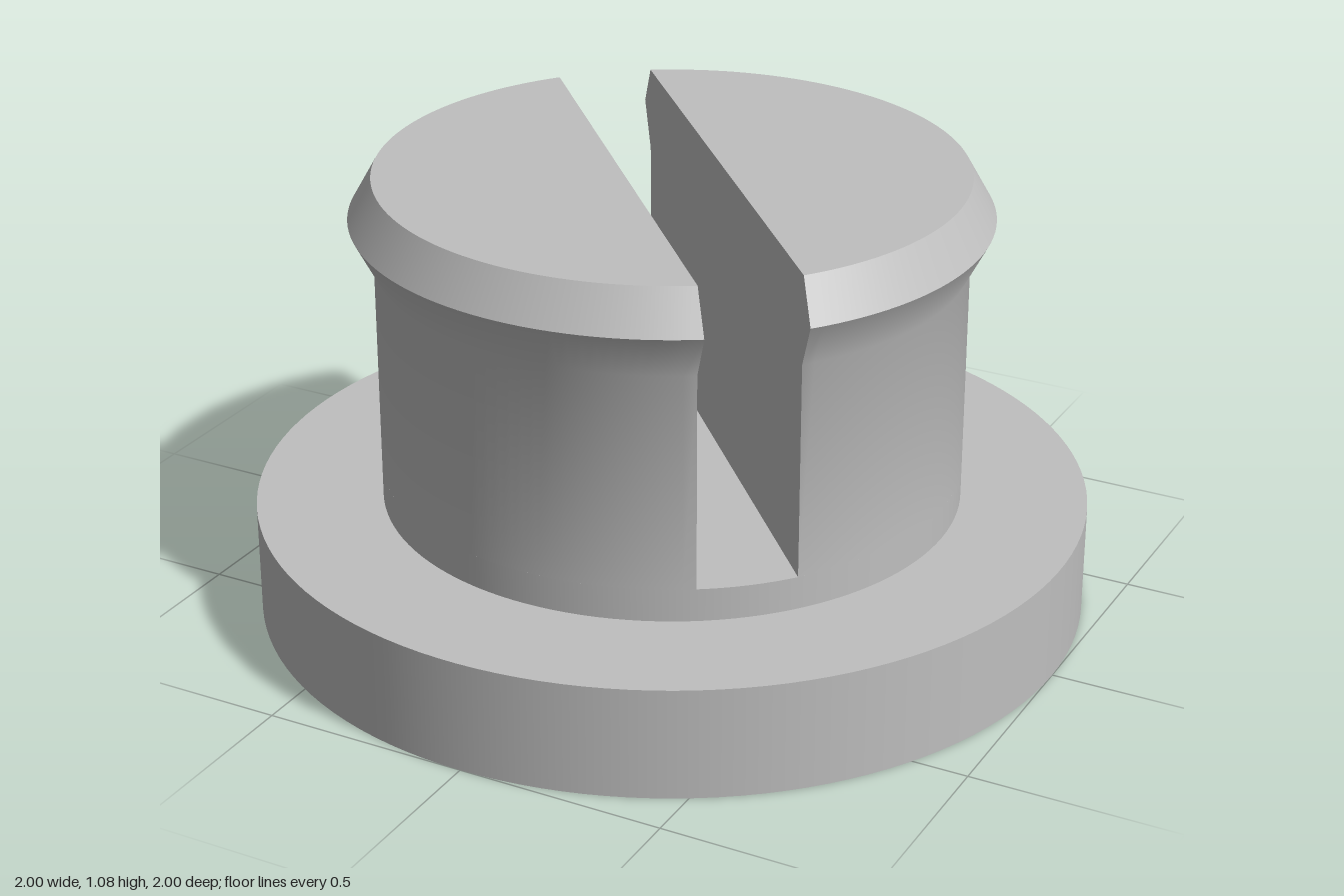
import * as THREE from 'three';
import { toCreasedNormals } from 'three/addons/utils/BufferGeometryUtils.js';

const FLOOR = 0.35;      // height of the slot floor
const HALF_SLOT = 0.117; // half the slot width
// [height, radius] of the snap head above the slot floor
const PROFILE = [[FLOOR, 0.697], [0.87, 0.697], [0.98, 0.754], [1.08, 0.697]];

// One half of the split head: circular segments stacked up the profile
function halfHeadGeometry(steps = 64) {
  const pos = [], index = [], n = steps + 1;
  for (const [y, r] of PROFILE) {
    const start = Math.asin(HALF_SLOT / r);
    for (let i = 0; i < n; i++) {
      const a = start + (Math.PI - 2 * start) * i / steps;
      pos.push(r * Math.cos(a), y, r * Math.sin(a));
    }
  }
  // Curved outside, with the wrap-around quad forming the flat slot wall
  for (let j = 0; j < PROFILE.length - 1; j++) {
    for (let i = 0; i < n; i++) {
      const a = j * n + i, b = j * n + (i + 1) % n;
      index.push(a, a + n, b, b, a + n, b + n);
    }
  }
  // Flat top
  const top = (PROFILE.length - 1) * n;
  for (let i = 1; i < steps; i++) index.push(top, top + i + 1, top + i);

  const geo = new THREE.BufferGeometry();
  geo.setAttribute('position', new THREE.Float32BufferAttribute(pos, 3));
  geo.setIndex(index);
  return toCreasedNormals(geo, THREE.MathUtils.degToRad(35));
}

export function createModel() {
  const group = new THREE.Group();
  group.name = 'snapPlug';
  const grey = new THREE.MeshStandardMaterial({ color: 0xbfbfbf });
  grey.name = 'grey';

  const disc = (name, radius, bottom, top) => {
    const geo = new THREE.CylinderGeometry(radius, radius, top - bottom, 128);
    const mesh = new THREE.Mesh(geo, grey);
    mesh.name = name;
    mesh.position.y = (bottom + top) / 2;
    group.add(mesh);
  };
  disc('flange', 1, 0, 0.27);
  disc('slotFloor', PROFILE[0][1], 0.27, FLOOR);

  // Two mirrored halves either side of the diagonal slot
  const head = new THREE.Group();
  head.name = 'splitHead';
  head.rotation.y = -THREE.MathUtils.degToRad(48);
  const geo = halfHeadGeometry();
  ['headHalfA', 'headHalfB'].forEach((name, i) => {
    const half = new THREE.Mesh(geo, grey);
    half.name = name;
    half.rotation.y = i * Math.PI;
    head.add(half);
  });
  group.add(head);
  return group;
}
